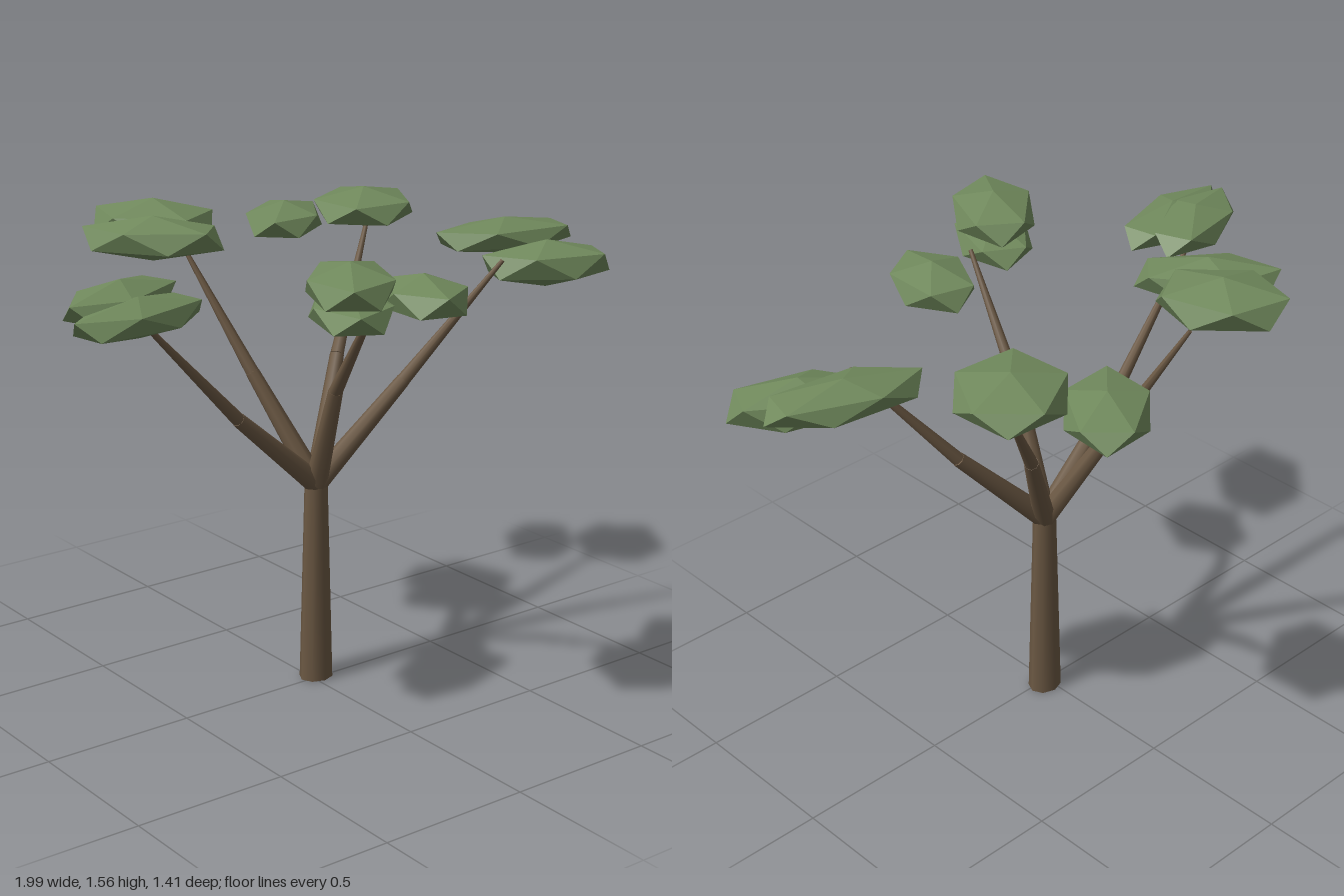
import * as THREE from 'three';

const bark = new THREE.MeshStandardMaterial({ color: 0x6b5843 });
const leaf = new THREE.MeshStandardMaterial({ color: 0x70895c, flatShading: true });

// Tapered round limb between two points
function limb(name, from, to, r0, r1) {
  const a = new THREE.Vector3(...from), b = new THREE.Vector3(...to);
  const dir = b.clone().sub(a);
  const mesh = new THREE.Mesh(new THREE.CylinderGeometry(r1, r0, dir.length(), 8), bark);
  mesh.name = name;
  mesh.position.copy(a).add(b).multiplyScalar(0.5);
  mesh.quaternion.setFromUnitVectors(new THREE.Vector3(0, 1, 0), dir.normalize());
  return mesh;
}

// Icosahedron standing on one corner, flattened into a leaf pad
const padShape = new THREE.IcosahedronGeometry(1, 0);
padShape.rotateZ(Math.atan(2 / (1 + Math.sqrt(5))));

function leafPad([x, y, z, length, width, height, yaw]) {
  const mesh = new THREE.Mesh(padShape, leaf);
  mesh.name = 'leafPad';
  mesh.position.set(x, y, z);
  // the corner ring is narrower than the unit sphere
  mesh.scale.set(length / 0.89, height, width / 0.89);
  mesh.rotation.y = THREE.MathUtils.degToRad(yaw);
  return mesh;
}

export function createModel() {
  const tree = new THREE.Group();
  tree.name = 'tree';

  // Trunk, slightly narrower from front to back
  const trunk = limb('trunk', [0.02, 0, -0.013], [0.02, 0.67, -0.013], 0.058, 0.04);
  trunk.scale.z = 0.85;
  tree.add(trunk);

  // Branches: knee and tip of each
  const fork = [0.02, 0.67, -0.013];
  const branches = [
    [[-0.3, 0.95, 0.015], [-0.68, 1.34, 0.062]],
    [[-0.04, 1.03, 0.165], [-0.11, 1.4, 0.46]],
    [[-0.1, 1.02, -0.19], [-0.22, 1.4, -0.385]],
    [[0.22, 1.03, -0.165], [0.49, 1.4, -0.355]],
    [[0.31, 0.98, 0.065], [0.6, 1.355, 0.2]],
  ];
  for (const [knee, tip] of branches) {
    const branch = new THREE.Group();
    branch.name = 'branch';
    branch.add(limb('lowerBranch', fork, knee, 0.036, 0.023));
    branch.add(limb('upperBranch', knee, tip, 0.022, 0.007));
    tree.add(branch);
  }

  // Leaf pads: centre, half length, half width, half height, turn in degrees
  const pads = [
    [-0.305, 1.49, -0.43, 0.2, 0.155, 0.075, -60],
    [-0.4, 1.475, -0.285, 0.22, 0.11, 0.07, -45],
    [0.285, 1.403, -0.54, 0.2, 0.125, 0.063, 45],
    [0.472, 1.455, -0.35, 0.2, 0.165, 0.066, 45],
    [0.75, 1.39, 0.04, 0.245, 0.105, 0.06, -15],
    [0.785, 1.322, 0.205, 0.215, 0.11, 0.077, -25],
    [-0.755, 1.41, 0.09, 0.225, 0.105, 0.063, 20],
    [-0.765, 1.385, 0.2, 0.235, 0.1, 0.06, 10],
    [-0.265, 1.465, 0.52, 0.205, 0.13, 0.07, 55],
    [-0.25, 1.385, 0.505, 0.195, 0.12, 0.063, 60],
    [0.075, 1.365, 0.435, 0.175, 0.125, 0.07, 75],
  ];
  const crown = new THREE.Group();
  crown.name = 'crown';
  for (const pad of pads) crown.add(leafPad(pad));
  tree.add(crown);

  return tree;
}
